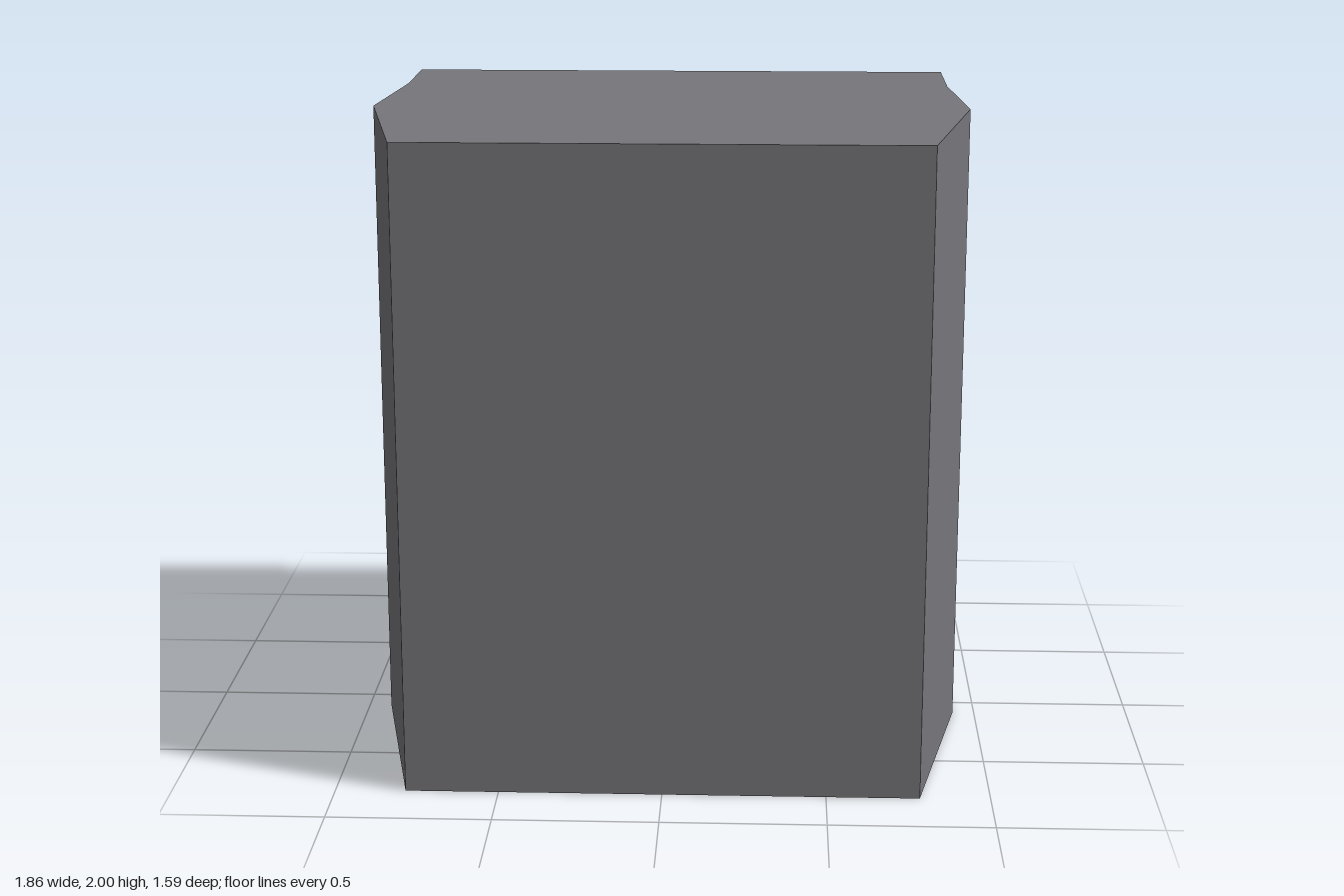
import * as THREE from 'three';

const BACK = -0.76, SKIN = 0.008, HEIGHT = 2;

function rectShape(x0, y0, x1, y1, Type = THREE.Shape) {
  return new Type([
    new THREE.Vector2(x0, y0), new THREE.Vector2(x1, y0),
    new THREE.Vector2(x1, y1), new THREE.Vector2(x0, y1),
  ]);
}

export function createModel() {
  const group = new THREE.Group();
  const steel = new THREE.MeshStandardMaterial({ color: 0x77777b, flatShading: true });
  const brass = new THREE.MeshStandardMaterial({ color: 0xd8963f, flatShading: true });

  const add = (name, geometry, material, x = 0, y = 0, z = 0) => {
    const mesh = new THREE.Mesh(geometry, material);
    mesh.name = name;
    mesh.position.set(x, y, z);
    group.add(mesh);
    return mesh;
  };

  // Cabinet body: plan outline as [half width, z], mirrored and extruded upward
  const side = [[0.89, BACK + SKIN], [0.89, -0.41], [0.93, 0.09], [0.785, 0.795]];
  const plan = [
    ...side.map(([x, z]) => new THREE.Vector2(x, -z)),
    ...side.slice().reverse().map(([x, z]) => new THREE.Vector2(-x, -z)),
  ];
  const body = new THREE.ExtrudeGeometry(new THREE.Shape(plan), { depth: HEIGHT, bevelEnabled: false });
  body.rotateX(-Math.PI / 2);
  add('cabinetBody', body, steel);

  // Back frame around the door opening
  const frame = rectShape(-0.89, 0, 0.89, HEIGHT);
  frame.holes.push(rectShape(-0.71, 0.115, 0.71, 1.885, THREE.Path));
  add('doorFrame', new THREE.ExtrudeGeometry(frame, { depth: SKIN, bevelEnabled: false }), steel, 0, 0, BACK);

  // Flush door, leaving a narrow seam all round
  add('door', new THREE.BoxGeometry(1.404, 1.754, SKIN), steel, 0, 1, BACK + SKIN / 2);

  // Door clasps, two on each edge of the door
  for (const x of [-0.705, 0.705]) {
    for (const y of [0.53, 1.48]) {
      add('doorClasp', new THREE.BoxGeometry(0.07, 0.055, 0.036), brass, x, y, BACK - 0.017);
    }
  }
  return group;
}
